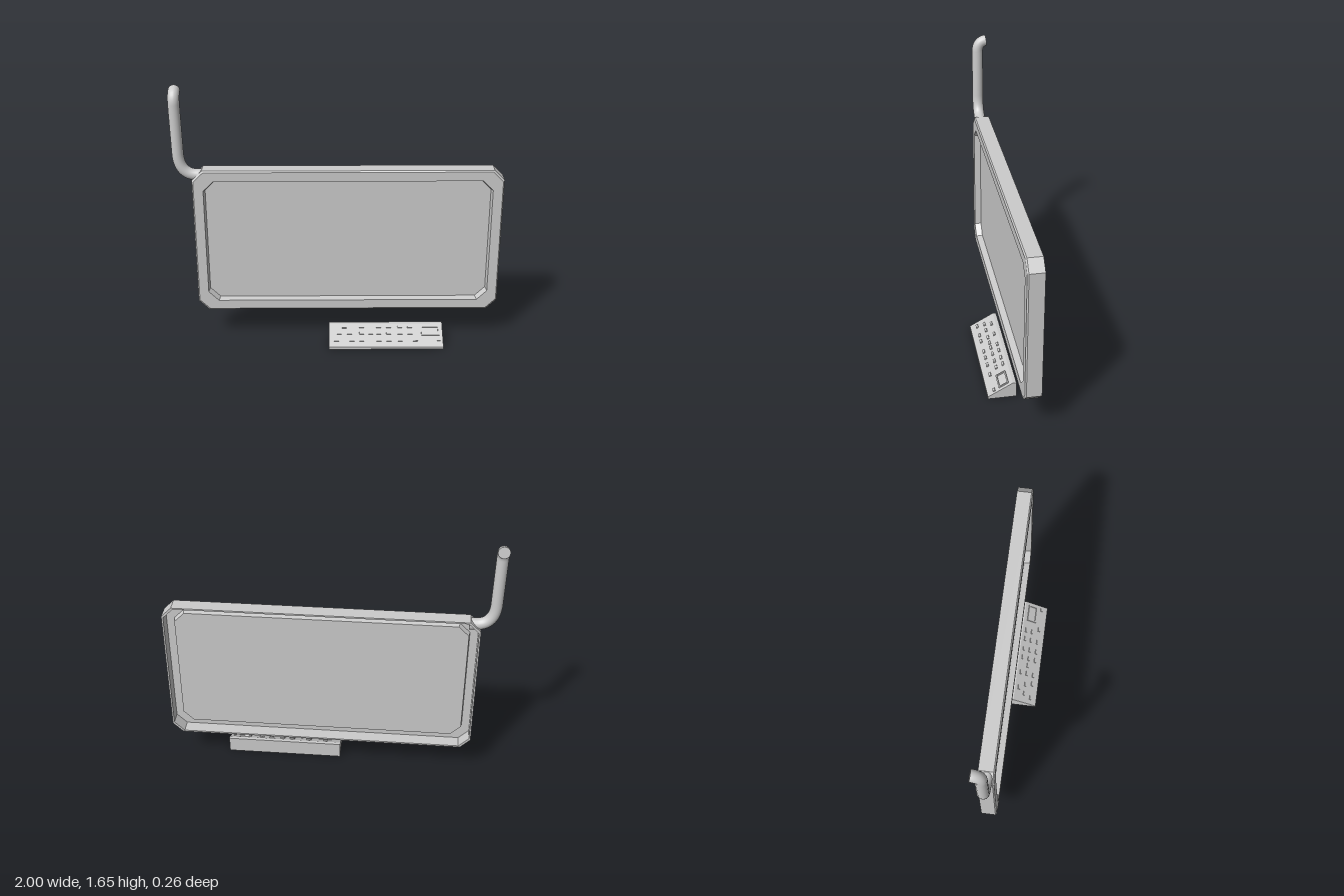
import * as THREE from 'three';

const grey = () => new THREE.MeshStandardMaterial({ color: 0xcccccc });
const flat = () => new THREE.MeshStandardMaterial({ color: 0xcccccc, flatShading: true });

function add(parent, name, geometry, material = flat()) {
  const mesh = new THREE.Mesh(geometry, material);
  mesh.name = name;
  parent.add(mesh);
  return mesh;
}

// Corner-cut rectangle, counter-clockwise seen from the front
function octagon(inset, z) {
  const x0 = -0.88 + inset, x1 = 1 - inset, y0 = 0.205 + inset, y1 = 1.145 - inset;
  const c = 0.062;
  return [
    [x1, y0 + c], [x1, y1 - c], [x1 - c, y1], [x0 + c, y1],
    [x0, y1 - c], [x0, y0 + c], [x0 + c, y0], [x1 - c, y0],
  ].map(([x, y]) => new THREE.Vector3(x, y, z));
}

// Closed faceted surface through a sequence of loops, capped at both ends
function loft(loops) {
  const points = [];
  const n = loops[0].length;
  const first = loops[0], last = loops[loops.length - 1];
  for (let i = 1; i < n - 1; i++) {
    points.push(first[0], first[i], first[i + 1]);
    points.push(last[0], last[i + 1], last[i]);
  }
  for (let k = 0; k < loops.length - 1; k++) {
    const a = loops[k], b = loops[k + 1];
    for (let i = 0; i < n; i++) {
      const j = (i + 1) % n;
      points.push(a[i], b[i], b[j], a[i], b[j], a[j]);
    }
  }
  const geometry = new THREE.BufferGeometry().setFromPoints(points);
  geometry.computeVertexNormals();
  return geometry;
}

function buildScreen() {
  // [inset, z] from the recessed panel, round the outer rim, to the hollow back
  const section = [
    [0.074, -0.065], [0.066, -0.025], [0.008, -0.025], [0, -0.033], [0, -0.122],
    [0.01, -0.122], [0.01, -0.042], [0.058, -0.042], [0.064, -0.075],
  ];
  const group = new THREE.Group();
  group.name = 'screen';
  add(group, 'screenFrame', loft(section.map(([inset, z]) => octagon(inset, z))));
  return group;
}

function buildPipe() {
  const group = new THREE.Group();
  group.name = 'bentPipe';
  const v = (x, y, z = -0.072) => new THREE.Vector3(x, y, z);
  const radius = 0.035;
  const path = new THREE.CurvePath();
  path.add(new THREE.LineCurve3(v(-0.81, 1.108), v(-0.85, 1.109)));
  path.add(new THREE.CubicBezierCurve3(v(-0.85, 1.109), v(-0.92, 1.11), v(-0.957, 1.16), v(-0.958, 1.25)));
  path.add(new THREE.LineCurve3(v(-0.958, 1.25), v(-0.963, 1.55)));
  path.add(new THREE.CubicBezierCurve3(v(-0.963, 1.55), v(-0.963, 1.59), v(-0.963, 1.615, -0.09), v(-0.963, 1.62, -0.127)));
  add(group, 'pipe', new THREE.TubeGeometry(path, 72, radius, 20), grey());
  // End discs
  const ends = [[path.getPointAt(0), path.getTangentAt(0).negate()], [path.getPointAt(1), path.getTangentAt(1)]];
  for (const [point, direction] of ends) {
    const cap = add(group, 'pipeEnd', new THREE.CircleGeometry(radius, 20));
    cap.position.copy(point);
    cap.quaternion.setFromUnitVectors(new THREE.Vector3(0, 0, 1), direction);
  }
  return group;
}

function buildKeypad() {
  const group = new THREE.Group();
  group.name = 'keypad';
  const x0 = -0.06, x1 = 0.66;
  const front = { z: 0.127, y: 0.016 }, top = { z: -0.022, y: 0.1 };

  // Wedge body: side profile drawn as (-z, y), extruded along x
  const profile = new THREE.Shape([
    [-front.z, 0], [0.043, 0], [0.043, top.y], [-top.z, top.y], [-front.z, front.y],
  ].map(([a, b]) => new THREE.Vector2(a, b)));
  const body = new THREE.ExtrudeGeometry(profile, { depth: x1 - x0, bevelEnabled: false });
  body.rotateY(Math.PI / 2);
  body.translate(x0, 0, 0);
  add(group, 'keypadBody', body);

  // Parts placed on the sloping face by x and z
  const slope = (top.y - front.y) / (front.z - top.z);
  const tilt = Math.atan(slope);
  const place = (mesh, x, z) => {
    mesh.position.set(x, top.y - (z - top.z) * slope, z);
    mesh.rotation.x = tilt;
  };
  const rows = [
    [0.002, [0.037, 0.147, 0.255, 0.318, 0.39, 0.453]],
    [0.042, [0.005, 0.07, 0.147, 0.205, 0.255, 0.318, 0.39, 0.453]],
    [0.086, [-0.013, 0.085, 0.147, 0.255, 0.318, 0.39, 0.485, 0.632]],
  ];
  for (const [z, columns] of rows) {
    for (const x of columns) {
      const width = x > 0.6 ? 0.022 : 0.03;
      place(add(group, 'button', new THREE.BoxGeometry(width, 0.014, 0.014)), x, z);
    }
  }

  // Raised rim round the small display
  const w = 0.057, h = 0.033, t = 0.008;
  const rect = (a, b) => [[-a, -b], [a, -b], [a, b], [-a, b]].map(([x, y]) => new THREE.Vector2(x, y));
  const rimShape = new THREE.Shape(rect(w, h));
  rimShape.holes.push(new THREE.Path(rect(w - t, h - t).reverse()));
  const rim = new THREE.ExtrudeGeometry(rimShape, { depth: 0.008, bevelEnabled: false });
  rim.rotateX(-Math.PI / 2);
  place(add(group, 'displayRim', rim), 0.582, 0.028);
  return group;
}

export function createModel() {
  const model = new THREE.Group();
  model.name = 'screenWithKeypad';
  model.add(buildScreen(), buildPipe(), buildKeypad());
  return model;
}
